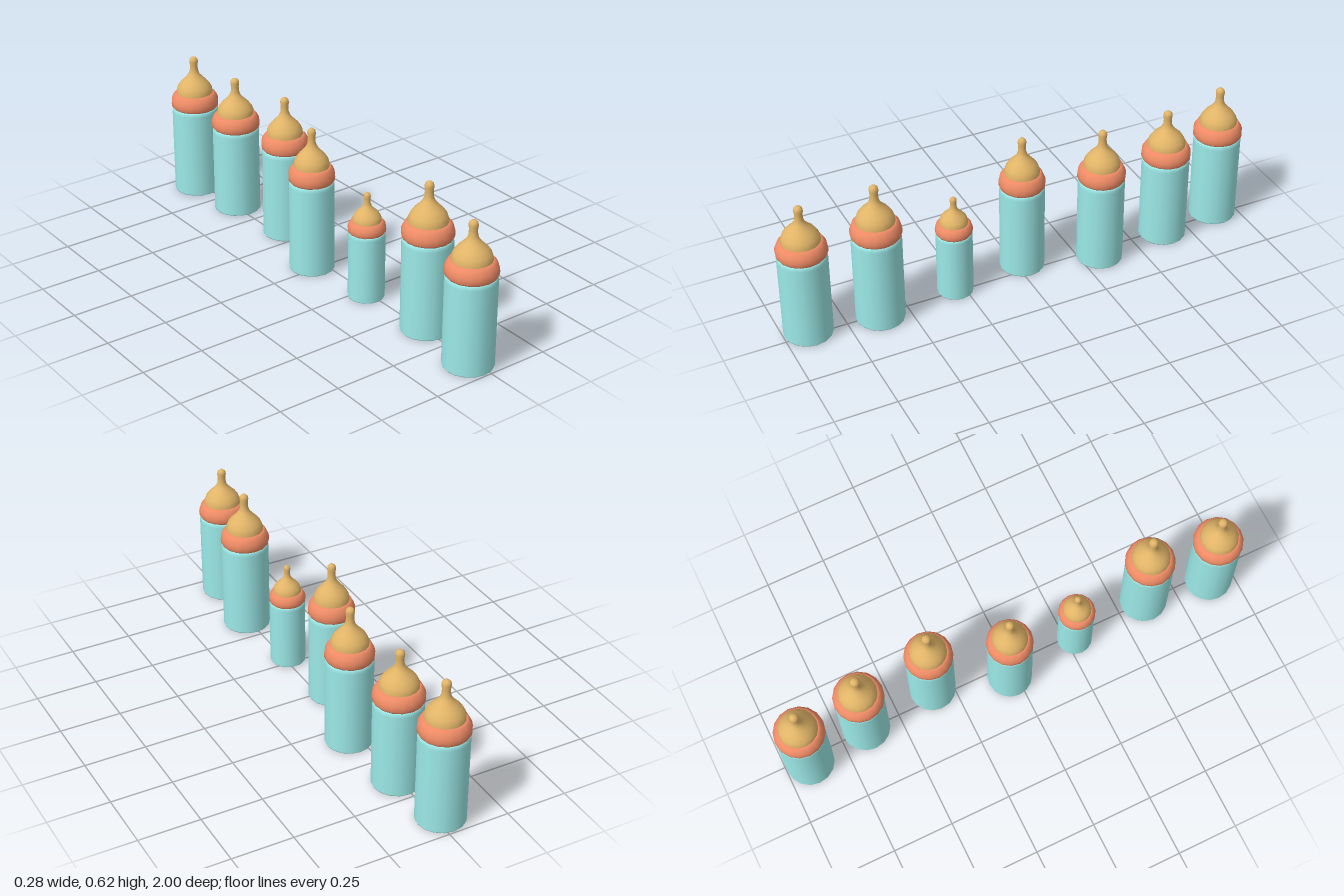
import * as THREE from 'three';

const SIDES = 16;
const material = (color) => new THREE.MeshStandardMaterial({ color, side: THREE.DoubleSide });
const lathe = (profile) =>
  new THREE.LatheGeometry(profile.map(([r, y]) => new THREE.Vector2(r, y)), SIDES);

// Profiles as [radius, height] for a full-size bottle
const BODY = [
  [0, 0], [0.09, 0], [0.09, 0], [0.096, 0.002], [0.0975, 0.006],
  [0.0975, 0.355], [0.0965, 0.366], [0.093, 0.373], [0.08, 0.377],
];
const RING = [
  [0.08, 0.373], [0.094, 0.373], [0.099, 0.38], [0.1, 0.393], [0.099, 0.405],
  [0.094, 0.418], [0.087, 0.429], [0.079, 0.435], [0.06, 0.435],
];
const NIPPLE_CURVE = [
  [0.0765, 0.434], [0.0755, 0.447], [0.07, 0.462], [0.057, 0.48], [0.039, 0.497],
  [0.024, 0.514], [0.0175, 0.53], [0.016, 0.552], [0.0185, 0.569], [0.0165, 0.58],
  [0.009, 0.587], [0, 0.588],
];

// Each bottle: x, z, radius scale, height scale
const BOTTLES = [
  [-0.025, 0.9, 1, 1],
  [0.01, 0.615, 1, 1.046],
  [-0.015, 0.285, 0.74, 0.754],
  [-0.048, -0.025, 0.925, 1.028],
  [0.041, -0.33, 0.965, 1.026],
  [0.01, -0.64, 1, 1],
  [-0.023, -0.9, 1, 1.03],
];

export function createModel() {
  const model = new THREE.Group();
  model.name = 'bottleRow';

  const parts = [
    ['body', lathe(BODY), material(0x9ceae8)],
    ['collarRing', lathe(RING), material(0xf08c66)],
    ['nipple', lathe(NIPPLE_CURVE), material(0xe2b568)],
  ];

  BOTTLES.forEach(([x, z, radius, height], i) => {
    const bottle = new THREE.Group();
    bottle.name = `bottle${i + 1}`;
    for (const [name, geometry, mat] of parts) {
      const mesh = new THREE.Mesh(geometry, mat);
      mesh.name = name;
      bottle.add(mesh);
    }
    bottle.position.set(x, 0, z);
    bottle.scale.set(radius, height, radius);
    model.add(bottle);
  });
  return model;
}
